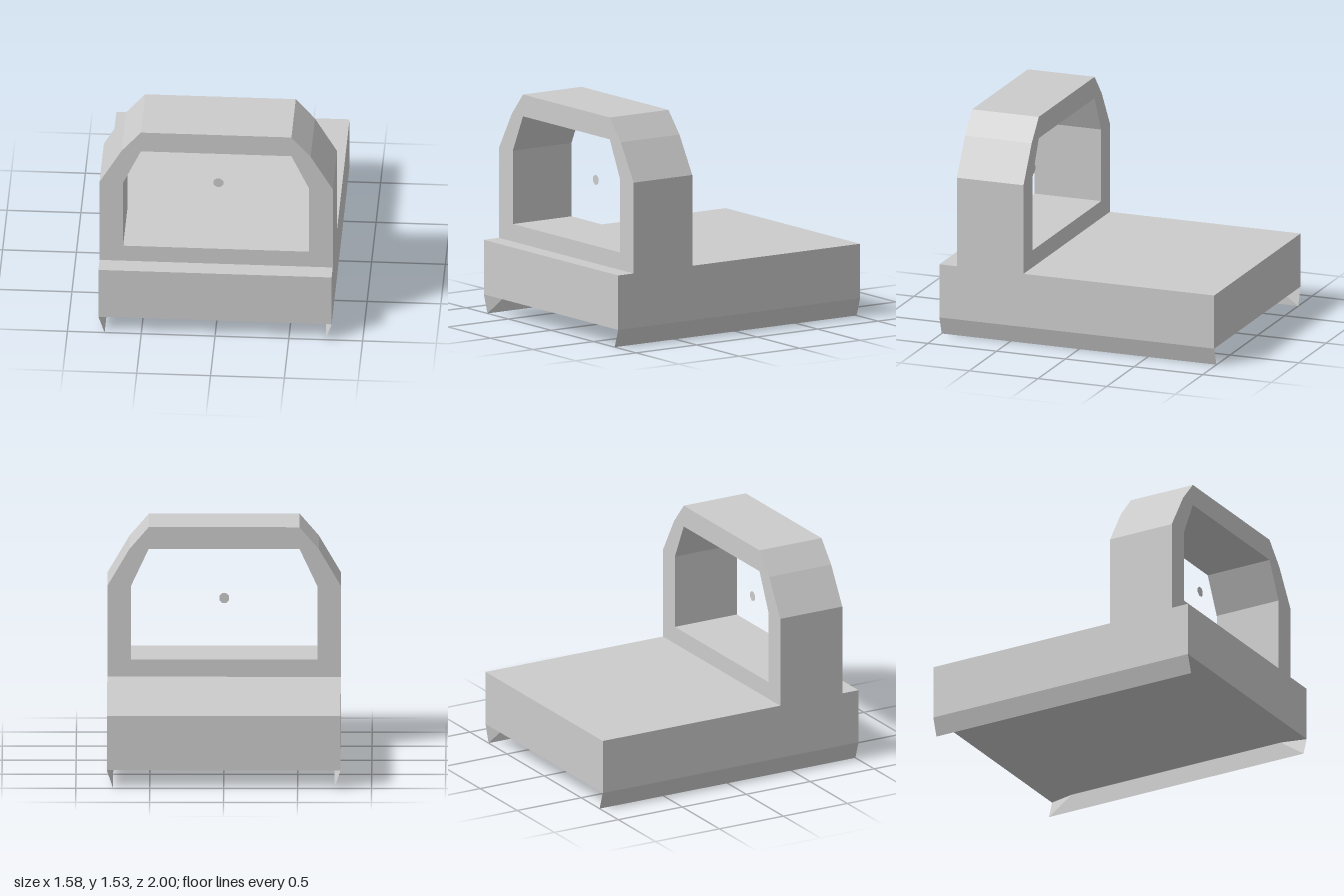
import * as THREE from 'three';
import { ConvexGeometry } from 'three/addons/geometries/ConvexGeometry.js';

const material = new THREE.MeshStandardMaterial({ color: 0xcccccc, flatShading: true });

// Mirror a right-half outline (bottom to top) into a full closed loop.
function mirrored(half) {
  const left = half.map(([x, y]) => [-x, y]).reverse();
  return [...half, ...left].map(([x, y]) => new THREE.Vector2(x, y));
}

export function createModel() {
  const model = new THREE.Group();
  const add = (name, geometry, mat = material) => {
    const mesh = new THREE.Mesh(geometry, mat);
    mesh.name = name;
    model.add(mesh);
    return mesh;
  };

  // Slab base
  add('base', new THREE.BoxGeometry(1.58, 0.375, 2)).position.y = 0.3125;

  // Chamfered arch with a window, flush with the sides of the base
  const outline = new THREE.Shape(mirrored([[0.79, 0.5], [0.79, 1.125], [0.64, 1.38], [0.51, 1.53]]));
  outline.holes.push(new THREE.Path(mirrored([[0.63, 0.62], [0.63, 1.125], [0.51, 1.38]])));
  const arch = add('arch', new THREE.ExtrudeGeometry(outline, { depth: 0.485, bevelEnabled: false }));
  arch.position.z = 0.388;

  // Tapered runners under the long edges, their inner top edge cut back at the ends
  for (const [name, s] of [['leftRunner', 1], ['rightRunner', -1]]) {
    const points = [];
    for (const e of [1, -1]) {
      points.push(
        new THREE.Vector3(s * 0.79, 0.125, e),
        new THREE.Vector3(s * 0.748, 0, e),
        new THREE.Vector3(s * 0.748, 0.125, e * 0.82),
      );
    }
    add(name, new ConvexGeometry(points));
  }

  // Small flat disc floating in the middle of the window
  const thin = material.clone();
  thin.side = THREE.DoubleSide;
  const disc = add('windowDisc', new THREE.CircleGeometry(0.036, 8, Math.PI / 8), thin);
  disc.position.set(0, 0.995, 0.63);

  return model;
}
